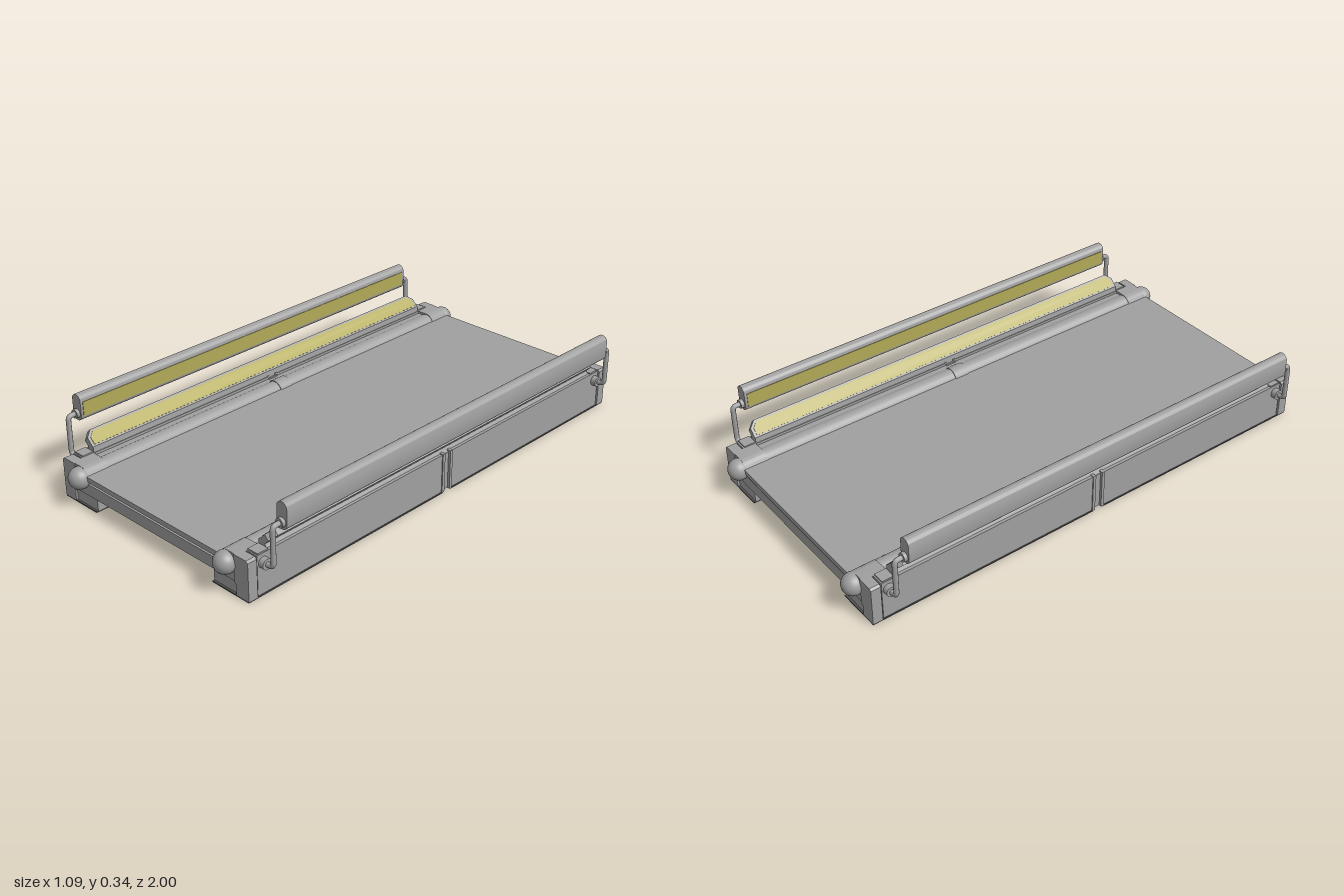
import * as THREE from 'three';
import { toCreasedNormals } from 'three/addons/utils/BufferGeometryUtils.js';

const material = (name, color, side = THREE.FrontSide) => {
  const m = new THREE.MeshStandardMaterial({ color, side });
  m.name = name;
  return m;
};

export function createModel() {
  const grey = material('grey metal', 0xa0a0a0);
  const yellow = material('yellow light strip', 0xb2aa58);
  const dark = material('dark pad', 0x525252);
  const model = new THREE.Group();
  model.name = 'walkwaySection';

  const add = (name, geometry, mat = grey) => {
    const mesh = new THREE.Mesh(geometry, mat);
    mesh.name = name;
    model.add(mesh);
    return mesh;
  };
  // Box given by its limits on each axis
  const box = (name, x0, x1, y0, y1, z0, z1, mat) =>
    add(name, new THREE.BoxGeometry(Math.abs(x1 - x0), y1 - y0, Math.abs(z1 - z0)), mat)
      .position.set((x0 + x1) / 2, (y0 + y1) / 2, (z0 + z1) / 2);
  const rod = (name, r, length, x, y, z) => {
    const g = new THREE.CylinderGeometry(r, r, length, 28);
    g.rotateX(Math.PI / 2);
    add(name, g).position.set(x, y, z);
  };
  const polygon = (pts) => new THREE.Shape(pts.map(([x, y]) => new THREE.Vector2(x, y)));
  // Constant section running along z
  const section = (name, shape, z0, z1) => {
    const g = new THREE.ExtrudeGeometry(shape, { depth: z1 - z0, bevelEnabled: false, curveSegments: 14 });
    g.translate(0, 0, z0);
    return add(name, toCreasedNormals(g, 0.6));
  };

  // Deck: top plate, recessed core and lower frame
  box('deckPlate', -0.38, 0.38, 0.11, 0.13, -0.955, 0.955);
  box('deckCore', -0.38, 0.38, 0.098, 0.11, -0.935, 0.935);
  box('deckFrame', -0.42, 0.42, 0.052, 0.098, -0.95, 0.95);
  for (const z of [-0.02, 0.02]) box('crossRib', -0.42, 0.42, 0.042, 0.052, z - 0.006, z + 0.006);

  for (const s of [1, -1]) {
    // Side wall, upper ledge, feet and pads in two halves with a joint between
    for (const e of [1, -1]) {
      box('sideWall', s * 0.42, s * 0.472, 0.005, 0.155, e * 0.022, e * 0.91);
      box('foot', s * 0.303, s * 0.42, 0.005, 0.052, e * 0.022, e * 0.945);
      box('footPad', s * 0.303, s * 0.475, 0, 0.005, e * 0.022, e * 0.953, dark);

      // End frame wrapping the wall
      section('endFrame', polygon([[0.418, 0.005], [0.476, 0.005], [0.476, 0.148], [0.468, 0.155],
        [0.41, 0.155], [0.41, 0.052], [0.418, 0.044]].map(([x, y]) => [s * x, y])),
      e > 0 ? 0.915 : -0.953, e > 0 ? 0.953 : -0.915);
      box('endPost', s * 0.424, s * 0.47, 0.14, 0.16, e * 0.86, e * 0.905);

      // Tube end housing and round cap
      const housing = new THREE.Shape();
      housing.moveTo(s * 0.425, 0.155);
      housing.lineTo(s * 0.378, 0.155);
      housing.absarc(s * 0.378, 0.114, 0.041, Math.PI / 2, -Math.PI / 2, s > 0 ? false : true);
      housing.lineTo(s * 0.425, 0.073);
      section('tubeHousing', housing, e > 0 ? 0.86 : -0.95, e > 0 ? 0.95 : -0.86);
      add('tubeCap', new THREE.SphereGeometry(0.041, 28, 18)).position.set(s * 0.376, 0.114, e * 0.959);

      // Bent rail bracket with wall flange and rail collar
      const path = new THREE.CurvePath();
      const p = [[0.465, 0.122, 0.885], [0.5, 0.122, 0.885], [0.52, 0.122, 0.885], [0.52, 0.142, 0.885],
        [0.52, 0.255, 0.885], [0.52, 0.272, 0.885], [0.52, 0.272, 0.87], [0.52, 0.272, 0.84]]
        .map(([x, y, z]) => new THREE.Vector3(s * x, y, e * z));
      path.add(new THREE.LineCurve3(p[0], p[1]));
      path.add(new THREE.QuadraticBezierCurve3(p[1], p[2], p[3]));
      path.add(new THREE.LineCurve3(p[3], p[4]));
      path.add(new THREE.QuadraticBezierCurve3(p[4], p[5], p[6]));
      path.add(new THREE.LineCurve3(p[6], p[7]));
      add('railBracket', new THREE.TubeGeometry(path, 60, 0.0095, 12));
      const flange = new THREE.CylinderGeometry(0.02, 0.02, 0.022, 20);
      flange.rotateZ(Math.PI / 2);
      add('bracketFlange', flange).position.set(s * 0.482, 0.122, e * 0.885);
      rod('railCollar', 0.017, 0.015, s * 0.52, 0.272, e * 0.85);
    }

    // Joint at mid length
    box('jointCore', s * 0.415, s * 0.466, 0.005, 0.15, -0.022, 0.022);
    for (const z of [-0.02, 0.02]) box('jointRib', s * 0.42, s * 0.476, 0.004, 0.158, z - 0.006, z + 0.006);

    // Edge tube with middle sleeve
    rod('edgeTube', 0.038, 1.9, s * 0.376, 0.114, 0);
    rod('tubeSleeve', 0.041, 0.06, s * 0.376, 0.114, 0);
    box('tubeBacking', s * 0.38, s * 0.425, 0.09, 0.145, -0.94, 0.94);

    // Leaning light panel: base strip, clipped board and yellow face
    section('panelBase', polygon([[0.422, 0.15], [0.464, 0.15], [0.443, 0.18], [0.425, 0.176]]
      .map(([x, y]) => [s * x, y])), -0.858, 0.858);
    const lean = new THREE.Matrix4().makeBasis(
      new THREE.Vector3(0, 0, s),
      new THREE.Vector3(s, 1, 0).normalize(),
      new THREE.Vector3(-s, 1, 0).normalize()).setPosition(s * 0.443, 0.157, 0);
    const board = (name, half, v0, v1, clip, start, depth, mat) => {
      const g = new THREE.ExtrudeGeometry(polygon([[-half, v0], [half, v0], [half, v1 - clip],
        [half - clip, v1], [clip - half, v1], [-half, v1 - clip]]), { depth, bevelEnabled: false });
      g.translate(0, 0, start);
      add(name, g.applyMatrix4(lean), mat);
    };
    board('lightPanel', 0.858, 0, 0.064, 0.025, 0, 0.025, grey);
    board('panelLight', 0.847, 0.008, 0.056, 0.02, 0.025, 0.002, yellow);

    // Hand rail with rounded top and bottom and an inner light strip
    const rail = new THREE.Shape();
    rail.absarc(s * 0.52, 0.322, 0.023, 0, Math.PI, false);
    rail.absarc(s * 0.52, 0.267, 0.023, Math.PI, Math.PI * 2, false);
    rail.closePath();
    section('handRail', rail, -0.845, 0.845);
    box('railLight', s * 0.495, s * 0.498, 0.265, 0.32, -0.835, 0.835, yellow);
  }
  return model;
}
